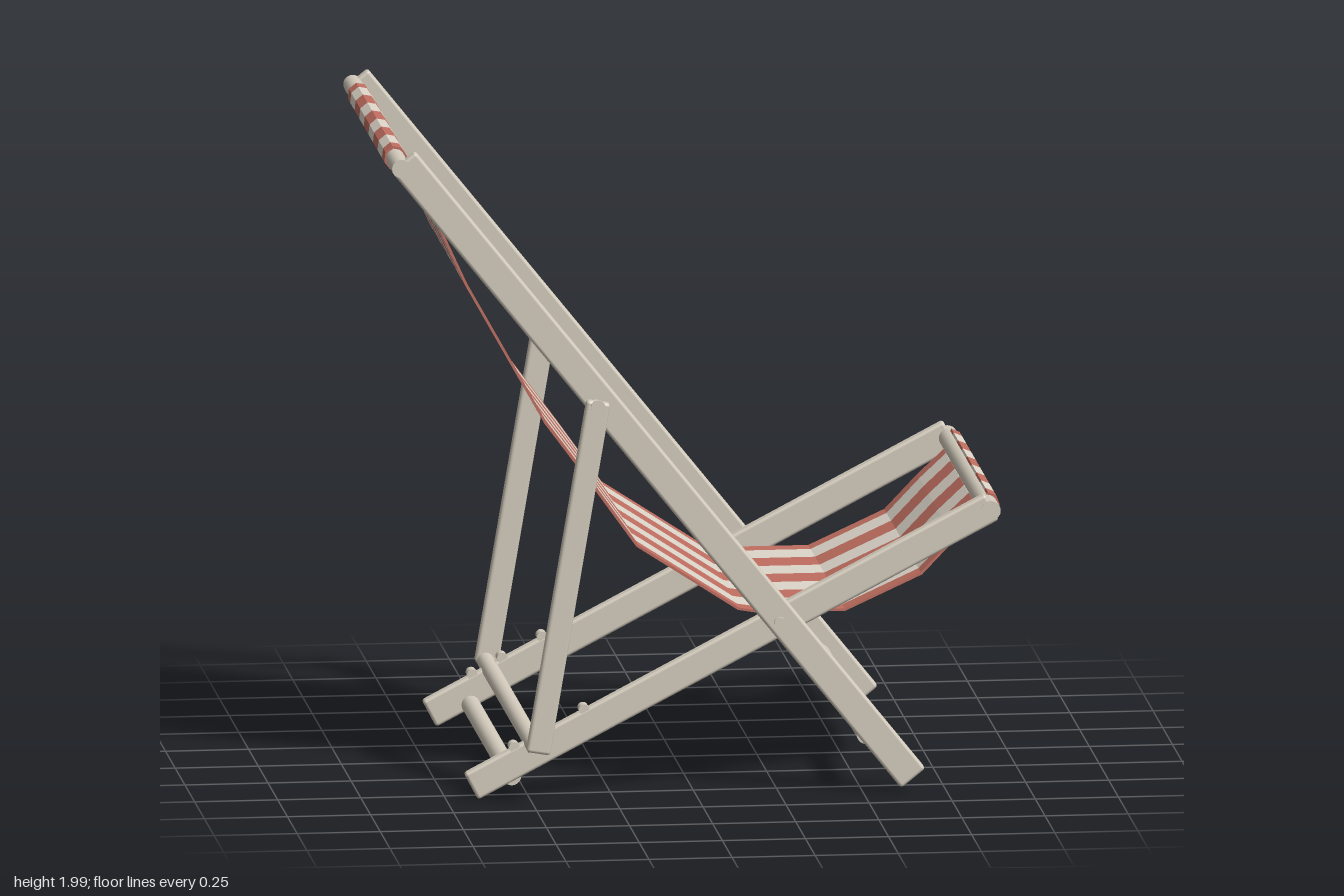
import * as THREE from 'three';
import { RoundedBoxGeometry } from 'three/addons/geometries/RoundedBoxGeometry.js';

const mat = (name, color) => {
  const m = new THREE.MeshStandardMaterial({ color });
  m.name = name;
  return m;
};

export function createModel() {
  const model = new THREE.Group();
  model.name = 'deckChair';
  const wood = mat('pale wood', 0xd4ccbd);
  const red = mat('red canvas', 0xc06e60);
  const cream = mat('cream canvas', 0xded6ca);

  const add = (name, geometry, material, x, y, z) => {
    const mesh = new THREE.Mesh(geometry, material);
    mesh.name = name;
    mesh.position.set(x, y, z);
    model.add(mesh);
    return mesh;
  };

  // Rounded wooden slat between two points of the side profile
  const slat = (name, [x0, y0], [x1, y1], z, width, depth) => {
    const length = Math.hypot(x1 - x0, y1 - y0);
    const mesh = add(name, new RoundedBoxGeometry(length, width, depth, 2, 0.01),
      wood, (x0 + x1) / 2, (y0 + y1) / 2, z);
    mesh.rotation.z = Math.atan2(y1 - y0, x1 - x0);
  };

  // Round rod lying along z
  const rod = (name, x, y, z, radius, length) => {
    const geometry = new THREE.CylinderGeometry(radius, radius, length, 20);
    geometry.rotateX(Math.PI / 2);
    add(name, geometry, wood, x, y, z);
  };

  for (const s of [1, -1]) {
    const side = s > 0 ? 'front' : 'back';
    // Crossing frames and the back prop
    slat(side + 'BackrestRail', [-0.886, 1.97], [0.648, 0.052], s * 0.61, 0.094, 0.04);
    slat(side + 'SeatRail', [-0.674, 0.043], [0.893, 0.86], s * 0.54, 0.09, 0.042);
    slat(side + 'Prop', [-0.305, 1.235], [-0.487, 0.165], s * 0.668, 0.072, 0.036);
    // Pivot bolts
    rod(side + 'PivotBolt', 0.245, 0.54, s * 0.573, 0.016, 0.13);
    rod(side + 'PropBolt', -0.308, 1.215, s * 0.642, 0.018, 0.1);
    rod(side + 'PropBoltHead', -0.308, 1.22, s * 0.69, 0.022, 0.006);
    // Stops on top of the seat rail that hold the prop bar
    for (const [x, y] of [[-0.335, 0.272], [-0.455, 0.21], [-0.545, 0.162]])
      rod(side + 'PropStop', x, y, s * 0.54, 0.016, 0.04);
  }

  // Cross bars
  rod('topBar', -0.893, 1.95, 0, 0.028, 1.26);
  rod('seatFrontBar', 0.888, 0.85, 0, 0.03, 1.125);
  rod('lowerBar', 0.51, 0.185, 0, 0.03, 1.2);
  rod('propBar', -0.49, 0.175, 0, 0.026, 1.36);
  rod('rearBar', -0.55, 0.07, 0, 0.028, 1.08);

  // Side profile of the sling, wrapped over the bars at both ends
  const path = [
    [-0.905, 1.918], [-0.922, 1.94], [-0.919, 1.967], [-0.9, 1.983], [-0.878, 1.979],
    [-0.862, 1.955], [-0.76, 1.735], [-0.68, 1.56], [-0.44, 1.13], [-0.3, 0.94],
    [-0.165, 0.75], [0.14, 0.55], [0.2, 0.54], [0.46, 0.54], [0.69, 0.645],
    [0.79, 0.75], [0.868, 0.823], [0.89, 0.815], [0.912, 0.825], [0.922, 0.85],
    [0.912, 0.875], [0.888, 0.885],
  ].map(([x, y]) => new THREE.Vector2(x, y));
  const half = 0.004;
  const offset = (sign) => path.map((p, i) => {
    const a = path[Math.max(i - 1, 0)], b = path[Math.min(i + 1, path.length - 1)];
    const t = b.clone().sub(a).normalize();
    return new THREE.Vector2(p.x - t.y * half * sign, p.y + t.x * half * sign);
  });
  const profile = new THREE.Shape([...offset(1), ...offset(-1).reverse()]);

  // Nine stripes across the sling
  const edges = [-0.47, -0.41, -0.295, -0.178, -0.06, 0.06, 0.178, 0.295, 0.41, 0.47];
  for (let i = 0; i < 9; i++) {
    const geometry = new THREE.ExtrudeGeometry(profile,
      { depth: edges[i + 1] - edges[i], bevelEnabled: false });
    add('canvasStripe', geometry, i % 2 ? cream : red, 0, 0, edges[i]);
  }
  return model;
}
